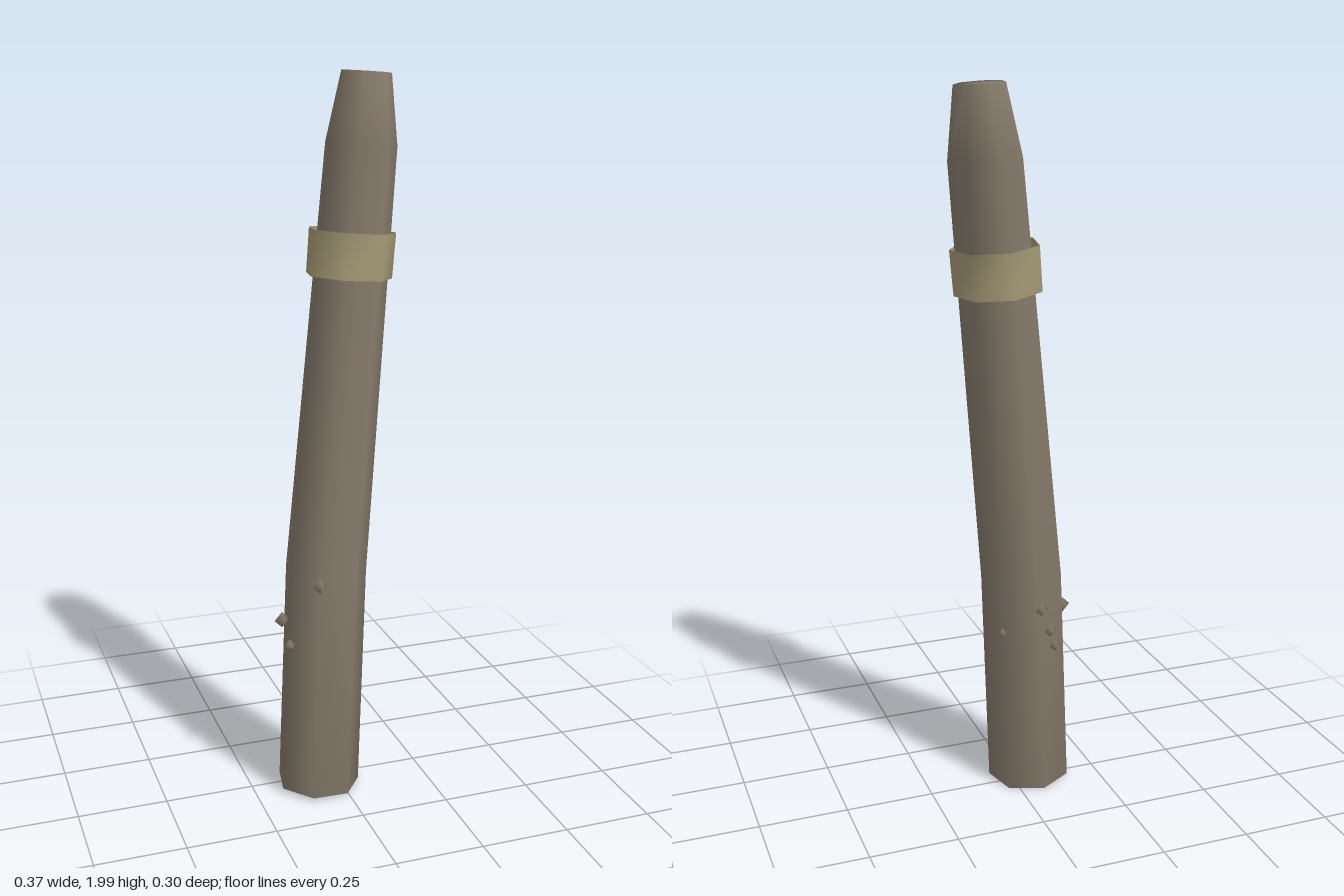
import * as THREE from 'three';

const SIDES = 7;
const PHASE = THREE.MathUtils.degToRad(10.7);

// Lofts seven-sided rings [x, y, z, radius, tiltX, tiltZ]; capped closes both ends.
function loft(rings, capped) {
  const pos = [], idx = [];
  for (const [x, y, z, r, kx, kz] of rings) {
    for (let i = 0; i < SIDES; i++) {
      const a = PHASE + (i / SIDES) * Math.PI * 2;
      const dx = r * Math.cos(a), dz = r * Math.sin(a);
      pos.push(x + dx, y + kx * dx + kz * dz, z + dz);
    }
  }
  for (let k = 0; k < rings.length - 1; k++) {
    for (let i = 0; i < SIDES; i++) {
      const j = (i + 1) % SIDES;
      const a = k * SIDES + i, b = k * SIDES + j;
      idx.push(a, a + SIDES, b, b, a + SIDES, b + SIDES);
    }
  }
  if (capped) {
    const last = (rings.length - 1) * SIDES;
    const bottom = pos.length / 3, top = bottom + 1;
    pos.push(...rings[0].slice(0, 3), ...rings[rings.length - 1].slice(0, 3));
    for (let i = 0; i < SIDES; i++) {
      const j = (i + 1) % SIDES;
      idx.push(bottom, i, j, top, last + j, last + i);
    }
  }
  const g = new THREE.BufferGeometry();
  g.setAttribute('position', new THREE.Float32BufferAttribute(pos, 3));
  g.setIndex(idx);
  g.computeVertexNormals();
  return g;
}

export function createModel() {
  const model = new THREE.Group();
  model.name = 'leaningPost';
  const wood = new THREE.MeshStandardMaterial({ name: 'weathered wood', color: 0x857a6a });
  const rope = new THREE.MeshStandardMaterial({ name: 'pale band', color: 0xa69a76, side: THREE.DoubleSide });

  const add = (name, geometry, material) => {
    const mesh = new THREE.Mesh(geometry, material);
    mesh.name = name;
    model.add(mesh);
    return mesh;
  };

  // Bent shaft with a tapered tip
  add('shaft', loft([
    [-0.06, 0.01, 0.03, 0.118, -0.045, 0.02],
    [-0.033, 0.65, 0.02, 0.1155, -0.06, 0.02],
    [0.089, 1.81, -0.043, 0.098, -0.08, 0.03],
    [0.105, 1.994, -0.048, 0.068, -0.07, 0.02],
  ], true), wood);

  // Loose open collar
  add('band', loft([
    [0.05, 1.465, -0.028, 0.119, -0.08, 0.03],
    [0.061, 1.587, -0.032, 0.12, -0.08, 0.03],
  ], false), rope);

  // Small knobs around the lower shaft: x, y, z, radius
  const knobs = [
    [-0.083, 0.65, 0.127, 0.021],
    [-0.163, 0.525, 0.03, 0.023],
    [-0.155, 0.465, 0.075, 0.018],
    [-0.05, 0.575, -0.095, 0.018],
    [-0.08, 0.505, -0.088, 0.018],
    [-0.1, 0.45, -0.073, 0.016],
    [0.05, 0.503, -0.052, 0.015],
  ];
  knobs.forEach(([x, y, z, r], i) => {
    const knob = add('knob' + (i + 1), new THREE.SphereGeometry(r, 4, 2), wood);
    knob.position.set(x, y, z);
    knob.rotation.y = 0.15;
  });

  return model;
}
